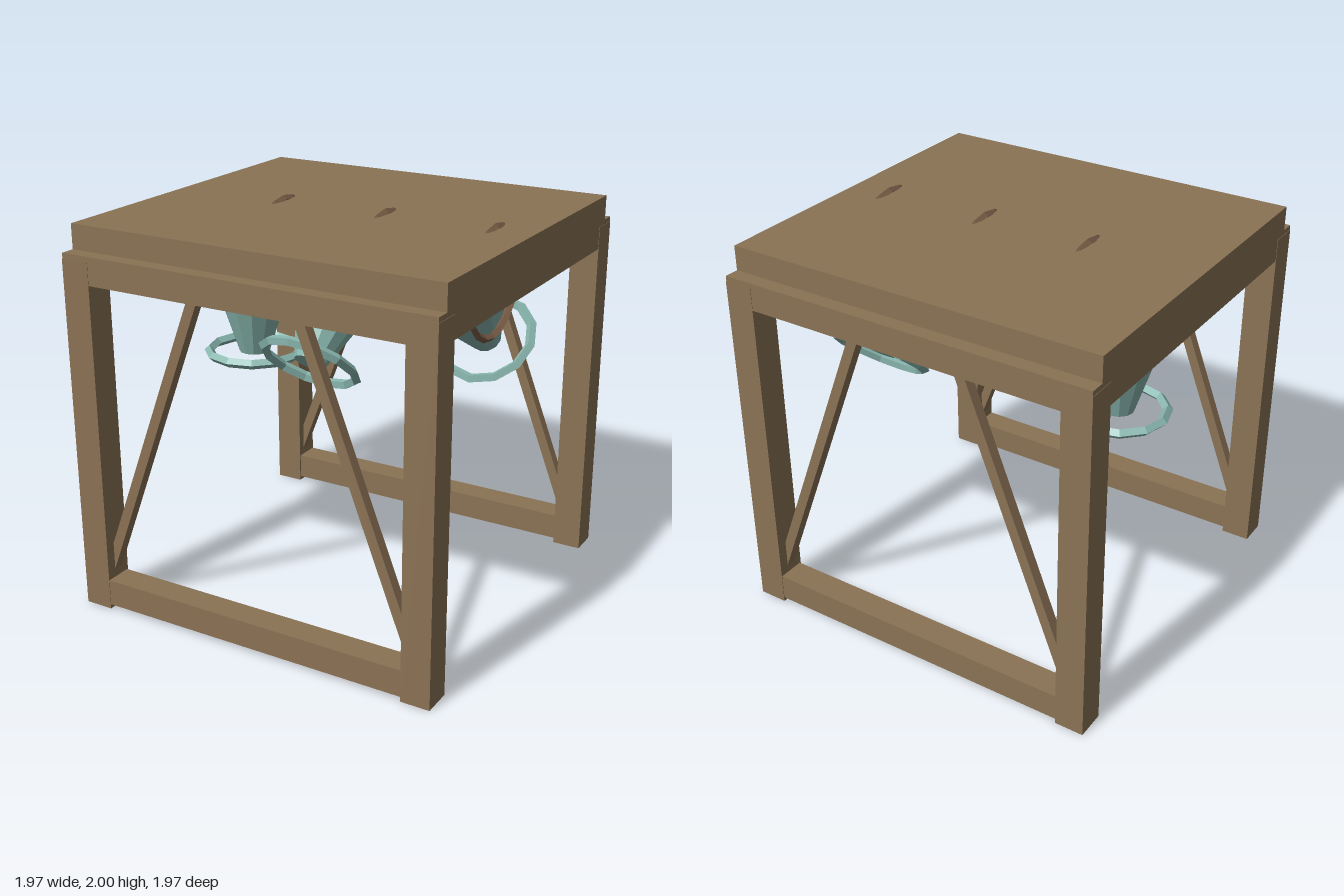
import * as THREE from 'three';

const mat = (name, color) => {
  const m = new THREE.MeshStandardMaterial({ color, flatShading: true });
  m.name = name;
  return m;
};

export function createModel() {
  const model = new THREE.Group();
  model.name = 'lampTable';
  const wood = mat('wood', 0x8b7355);
  const teal = mat('teal', 0x8ab8b0);
  const hookBrown = mat('hookBrown', 0x7d5f48);
  const brass = mat('brass', 0xcd853f);

  const add = (parent, name, geo, material, x = 0, y = 0, z = 0) => {
    const mesh = new THREE.Mesh(geo, material);
    mesh.name = name;
    mesh.position.set(x, y, z);
    parent.add(mesh);
    return mesh;
  };
  const box = (name, w, h, d, x, y, z) =>
    add(model, name, new THREE.BoxGeometry(w, h, d), wood, x, y, z);

  // Table top
  box('tableTop', 1.966, 0.125, 1.815, 0, 1.9125, 0);

  for (const s of [-1, 1]) {
    // Frame under the top: long rails front and back, side rails between
    box('topRail', 1.966, 0.14, 0.145, 0, 1.78, s * 0.9105);
    box('sideRail', 0.146, 0.14, 1.7, s * 0.91, 1.78, 0);
    // Foot rail between the legs
    box('footRail', 1.7, 0.138, 0.14, 0, 0.092, s * 0.9125);

    for (const t of [-1, 1]) {
      box('leg', 0.15, 1.825, 0.15, s * 0.91, 0.9125, t * 0.91);
      // Slanted brace from the leg foot to the top rail
      const brace = box('brace', 0.052, 1.69, 0.055, s * 0.59, 0.912, t * 0.905);
      brace.rotation.z = s * 0.368;
    }
  }

  // Axle above the lamps
  const axle = new THREE.CylinderGeometry(0.03, 0.03, 1.7, 8).rotateZ(Math.PI / 2);
  add(model, 'axle', axle, brass, 0, 1.783, 0);

  // Three lamps: straight down, tilted forward, tilted back
  const tilts = [0, -0.743, 0.743];
  tilts.forEach((tilt, i) => {
    const x = (i - 1) * 0.58;
    const lamp = new THREE.Group();
    lamp.name = 'lamp';
    lamp.position.set(x, 1.715, 0);
    lamp.rotation.x = tilt;
    model.add(lamp);
    add(lamp, 'mount', new THREE.BoxGeometry(0.33, 0.08, 0.12), wood);
    add(lamp, 'shade', new THREE.CylinderGeometry(0.235, 0.08, 0.475, 12), teal, 0, -0.3325, 0);
    const rim = new THREE.TorusGeometry(0.24, 0.026, 4, 12).rotateX(Math.PI / 2);
    add(lamp, 'rim', rim, teal, 0, -0.568, 0);

    // Hanging ring beside each lamp, passing through the top
    const ring = new THREE.TorusGeometry(0.267, 0.02, 4, 20).rotateY(Math.PI / 2);
    add(model, 'hangingRing', ring, hookBrown, x + 0.198, 1.713, 0);
  });

  return model;
}
